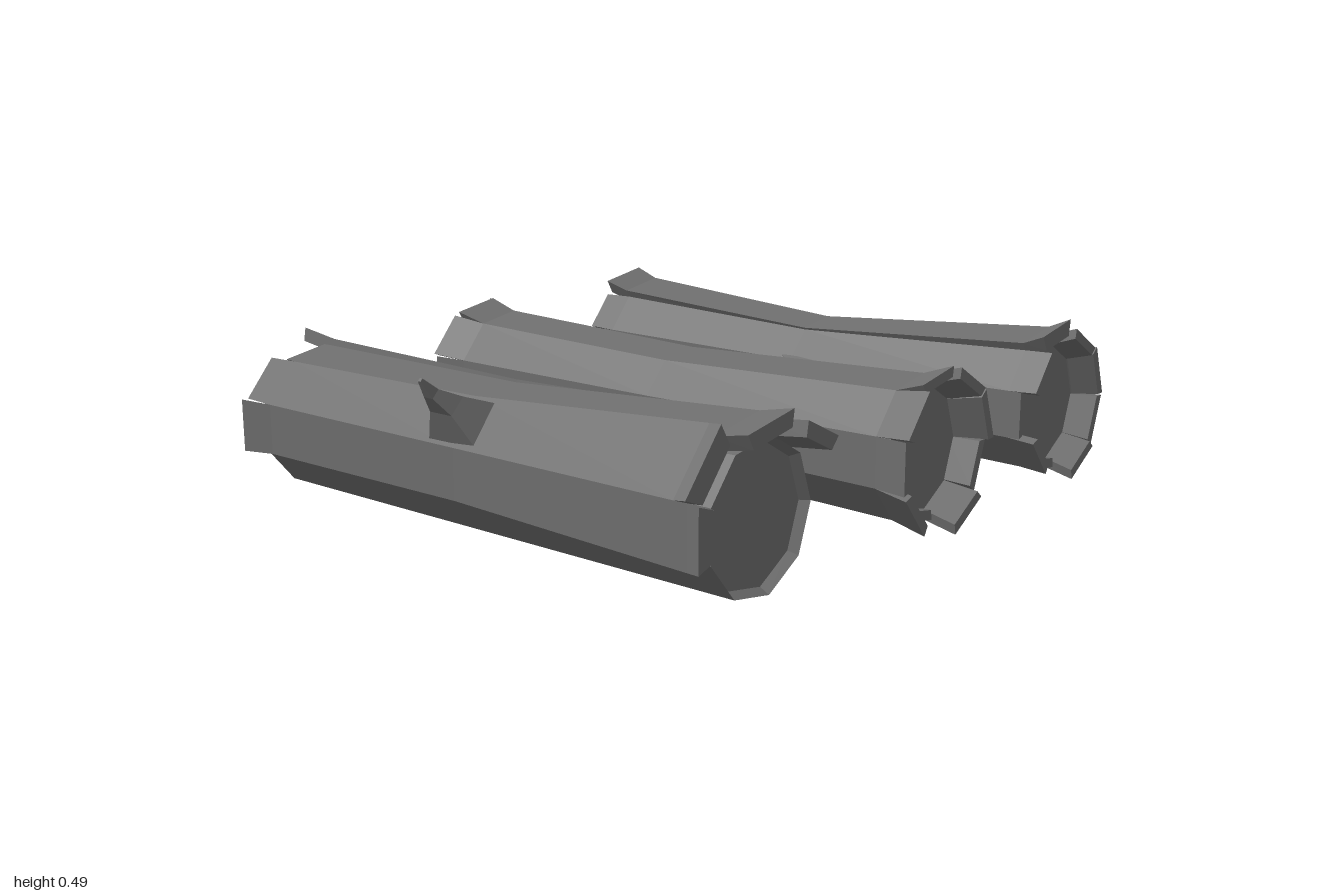
import * as THREE from 'three';

const SIDES = 9, STEP = (Math.PI * 2) / SIDES;
const material = new THREE.MeshStandardMaterial({ color: 0x6e6e6e, flatShading: true });

// Closed solid through matching rings, counter-clockwise about the travel direction
function loft(rings) {
  const n = rings[0].length, pos = [];
  const tri = (a, b, c) => pos.push(...a, ...b, ...c);
  for (let r = 0; r < rings.length - 1; r++) {
    for (let i = 0; i < n; i++) {
      const j = (i + 1) % n, A = rings[r], B = rings[r + 1];
      tri(A[i], A[j], B[j]);
      tri(A[i], B[j], B[i]);
    }
  }
  const first = rings[0], last = rings[rings.length - 1];
  for (let i = 1; i < n - 1; i++) {
    tri(first[0], first[i + 1], first[i]);
    tri(last[0], last[i], last[i + 1]);
  }
  const g = new THREE.BufferGeometry();
  g.setAttribute('position', new THREE.Float32BufferAttribute(pos, 3));
  g.computeVertexNormals();
  return g;
}

function part(name, geometry) {
  const mesh = new THREE.Mesh(geometry, material);
  mesh.name = name;
  return mesh;
}

// Point around the log; dip flattens the upper half
function polar(r, a, z, dip = 1) {
  const y = r * Math.sin(a);
  return [r * Math.cos(a), y > 0 ? y * dip : y, z];
}

// Nine-sided wood core with slightly recessed end faces
function core(endRadius, midRadius, dip) {
  const ring = (z, r, d) => Array.from({ length: SIDES }, (_, i) => polar(r, i * STEP, z, d));
  const inner = endRadius * 0.92;
  return part('woodCore', loft([
    ring(-0.795, inner), ring(-0.82, endRadius), ring(-0.02, midRadius, dip),
    ring(0.82, endRadius), ring(0.795, inner),
  ]));
}

// Bark strip over one side: radii run from back end to front end
function bark({ side, span = 1, back, front, radii, thick = 0.03, gap = 0.02 }, dip) {
  const zs = [back, -0.78, -0.02, 0.78, front];
  const rings = zs.map((z, k) => {
    const trim = k === 0 || k === 4 ? gap * STEP : 0;
    const a0 = side * STEP + trim, a1 = (side + span) * STEP - trim;
    const r = radii[k], d = k === 2 ? dip : 1;
    return [polar(r, a0, z, d), polar(r, a1, z, d), polar(r - thick, a1, z, d), polar(r - thick, a0, z, d)];
  });
  return part('barkStrip', loft(rings));
}

// Branch stub: stations are [x, y, z, half height, half depth] along dir in the xy plane
function branch(name, dir, stations) {
  const len = Math.hypot(...dir), ux = -dir[1] / len, uy = dir[0] / len;
  const corners = [[-1, -1], [1, -1], [1, 1], [-1, 1]];
  return part(name, loft(stations.map(([x, y, z, h, d]) =>
    corners.map(([s, t]) => [x + ux * s * h, y + uy * s * h, z + t * d]))));
}

function log(name, x, y, [endRadius, midRadius, dip], strips) {
  const g = new THREE.Group();
  g.name = name;
  g.position.set(x, y, 0);
  g.add(core(endRadius, midRadius, dip), ...strips.map((s) => bark(s, dip)));
  return g;
}

// Bark hugging the log with both ends flared outwards
const flared = (side, back, front, endBack, endFront = endBack) => ({
  side, back, front, radii: [endBack, 0.205, 0.187, 0.205, endFront],
});

// Bark that ends level with the core
const plain = (side) => ({
  side, back: -0.82, front: 0.82, radii: [0.205, 0.205, 0.187, 0.205, 0.205], gap: 0,
});

export function createModel() {
  const model = new THREE.Group();
  model.name = 'logs';

  // Mostly bare log with four loose strips
  model.add(log('rightLog', -0.7, 0.22, [0.2, 0.2, 1], [
    { side: 1.2, span: 0.8, back: -0.92, front: 0.92, radii: [0.25, 0.232, 0.215, 0.232, 0.248], thick: 0.04, gap: 0 },
    { side: 2, back: -0.82, front: 0.88, radii: [0.212, 0.212, 0.207, 0.25, 0.27], thick: 0.045 },
    { side: 3, back: -0.885, front: 0.82, radii: [0.212, 0.212, 0.222, 0.29, 0.298], thick: 0.065 },
    { side: 4, back: -0.885, front: 0.82, radii: [0.232, 0.212, 0.207, 0.24, 0.245], thick: 0.06 },
  ]));

  // Log wrapped in bark, except for one side underneath
  model.add(log('middleLog', 0.04, 0.235, [0.197, 0.18, 0.95], [
    flared(0, -0.9, 0.89, 0.234),
    flared(1, -0.9, 0.89, 0.234),
    flared(2, -0.88, 0.87, 0.236),
    flared(3, -0.9, 0.89, 0.224),
    flared(4, -0.89, 0.88, 0.22),
    flared(5, -0.9, 0.89, 0.23),
    plain(6),
    flared(7, -0.9, 0.89, 0.236),
    flared(8, -0.88, 0.87, 0.222),
  ]));

  // Log with its top strip raised highest
  model.add(log('leftLog', 0.75, 0.235, [0.197, 0.18, 0.9], [
    flared(0, -0.87, 0.87, 0.22, 0.245),
    flared(1, -0.88, 0.87, 0.236),
    { side: 2, back: -0.86, front: 0.85, radii: [0.262, 0.232, 0.195, 0.232, 0.262], thick: 0.05 },
    flared(3, -0.88, 0.87, 0.205, 0.211),
    plain(4),
    flared(5, -0.88, 0.87, 0.214),
    plain(6),
    flared(7, -0.89, 0.88, 0.235),
    flared(8, -0.88, 0.87, 0.225, 0.238),
  ]));

  // Broken branches
  model.add(branch('rightLogBranch', [1, 0], [
    [-0.55, 0.15, -0.02, 0.07, 0.17],
    [-0.48, 0.16, 0.0, 0.045, 0.07],
    [-0.385, 0.158, 0.03, 0.036, 0.045],
    [-0.265, 0.155, 0.11, 0.03, 0.03],
  ]));
  model.add(branch('leftLogBranch', [-1, 0], [
    [0.585, 0.235, 0.065, 0.07, 0.13],
    [0.545, 0.235, 0.07, 0.045, 0.05],
    [0.385, 0.237, 0.07, 0.024, 0.03],
  ]));
  model.add(branch('thornBranch', [-0.72, 0.69], [
    [-0.85, 0.35, -0.015, 0.07, 0.09],
    [-0.915, 0.41, -0.015, 0.03, 0.04],
    [-0.96, 0.445, -0.02, 0.015, 0.016],
    [-0.995, 0.485, -0.02, 0.005, 0.005],
  ]));

  return model;
}
